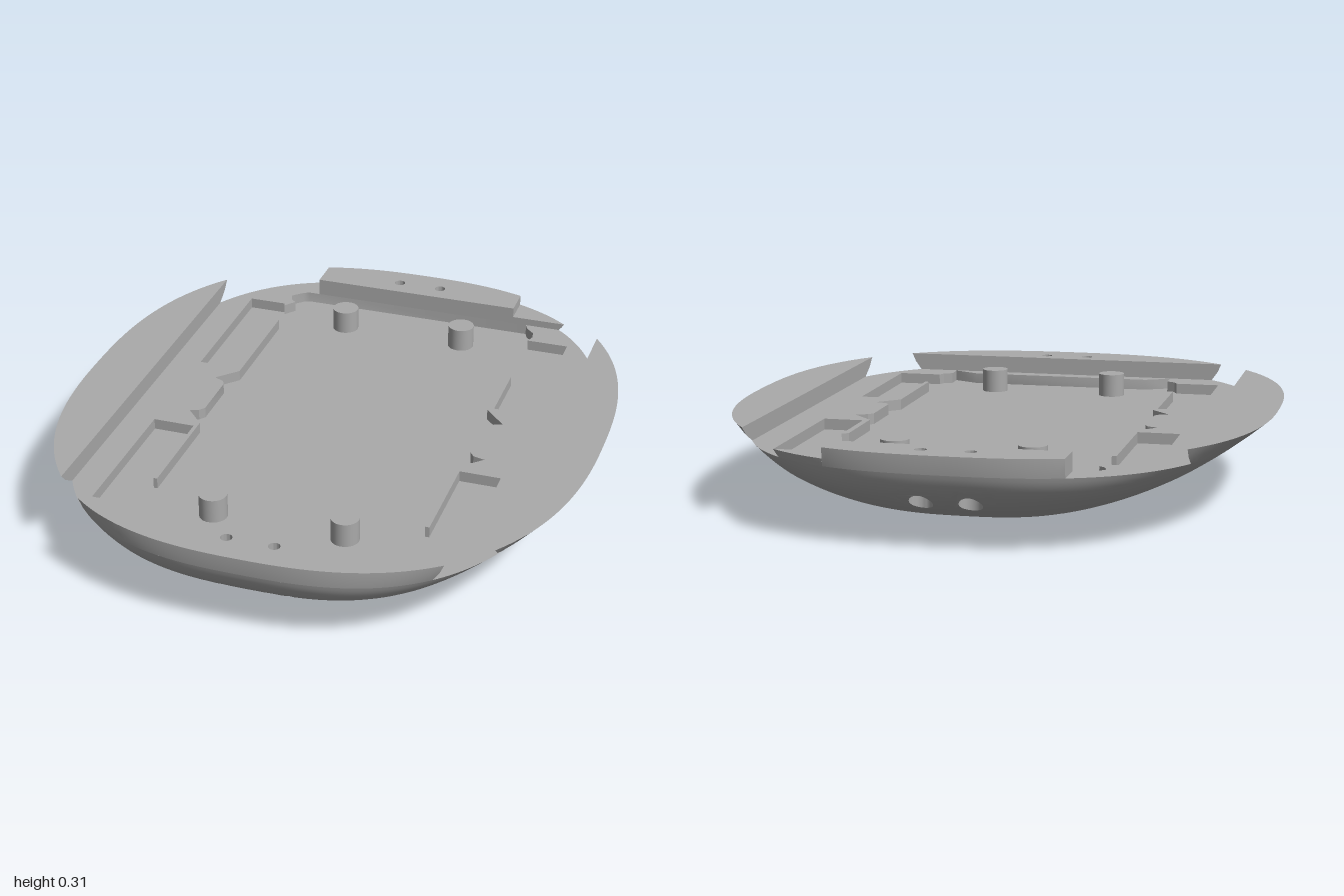
import * as THREE from 'three';
import { toCreasedNormals } from 'three/addons/utils/BufferGeometryUtils.js';

const TOP = 0.305, LEDGE = 0.245, FLOOR = 0.208, SEAT = 0.22;
const RADIUS = 1.48; // cross-curve of the hull
const HOLES = [[-0.075, 0.9], [0.08, 0.9], [-0.075, -0.915], [0.08, -0.915]];
const BORE = 0.019, COUNTERBORE = 0.037;

// Hull section at height y: superellipse half width a, half length b, exponent n
function section(y) {
  const a = Math.sqrt(Math.max(0, RADIUS ** 2 - (RADIUS - y) ** 2));
  const b = (1 - (1 - Math.min(y / TOP, 1)) ** 2.6) ** (1 / 2.6);
  return { a, b, n: Math.min(2.9, 2.5 + (TOP - y) * 3) };
}

function ring(y, count) {
  const { a, b, n } = section(y);
  return Array.from({ length: count }, (_, j) => {
    const c = Math.cos(j / count * Math.PI * 2), s = Math.sin(j / count * Math.PI * 2);
    const k = (Math.abs(c) ** n + Math.abs(s) ** n) ** (-1 / n);
    return [a * c * k, y, b * s * k];
  });
}

// Height of the hull surface above a plan position
function hullHeight(x, z) {
  let lo = 1e-5, hi = TOP;
  for (let i = 0; i < 40; i++) {
    const y = (lo + hi) / 2, { a, b, n } = section(y);
    if (Math.abs(x / a) ** n + Math.abs(z / b) ** n > 1) lo = y; else hi = y;
  }
  return hi;
}

const circle = (x, z, r, count = 32) => Array.from({ length: count }, (_, i) => {
  const t = i / count * Math.PI * 2;
  return [x + r * Math.cos(t), 0, z + r * Math.sin(t)];
});
const atHeight = (loop, y) => loop.map(([x, , z]) => [x, y, z]);

// Walls joining closed loops of equal length
function loft(loops) {
  const pos = [];
  for (let i = 0; i + 1 < loops.length; i++) {
    const p = loops[i], q = loops[i + 1], n = p.length;
    for (let j = 0; j < n; j++) {
      const k = (j + 1) % n;
      pos.push(...p[j], ...q[j], ...q[k], ...p[j], ...q[k], ...p[k]);
    }
  }
  const g = new THREE.BufferGeometry();
  g.setAttribute('position', new THREE.Float32BufferAttribute(pos, 3));
  return toCreasedNormals(g, 0.5);
}

// Horizontal upward face with holes
function flat(loop, y, holes = []) {
  const v = l => l.map(([x, , z]) => new THREE.Vector2(x, -z));
  const shape = new THREE.Shape(v(loop));
  shape.holes = holes.map(h => new THREE.Path(v(h)));
  return new THREE.ShapeGeometry(shape).rotateX(-Math.PI / 2).translate(0, y, 0);
}

// Curved underside, with round openings patched into the grid
function hullGeometry() {
  const rows = 40, cols = 192, pts = [], index = [], skip = new Set();
  for (let i = 0; i <= rows; i++) pts.push(...ring(LEDGE * (i / rows) ** 2, cols));
  const id = (i, j) => i * cols + j % cols;
  const tri = (a, b, c) => {
    const [p, q, r] = [pts[a], pts[b], pts[c]];
    const ny = (q[2] - p[2]) * (r[0] - p[0]) - (q[0] - p[0]) * (r[2] - p[2]);
    if (ny > 0) index.push(a, c, b); else index.push(a, b, c);
  };
  for (const [hx, hz] of HOLES) {
    let i0 = rows, i1 = 0, j0 = cols, j1 = 0;
    for (let i = 1; i < rows; i++) for (let j = 0; j < cols; j++) {
      const [x, , z] = pts[id(i, j)];
      if (Math.abs(x - hx) > 0.042 || Math.abs(z - hz) > 0.042) continue;
      i0 = Math.min(i0, i); i1 = Math.max(i1, i);
      j0 = Math.min(j0, j); j1 = Math.max(j1, j);
    }
    i0--; j0--; j1++; i1 = Math.min(rows, i1 + 1);
    for (let i = i0; i < i1; i++) for (let j = j0; j < j1; j++) skip.add(id(i, j));
    const edge = [];
    for (let j = j0; j < j1; j++) edge.push(id(i0, j));
    for (let i = i0; i < i1; i++) edge.push(id(i, j1));
    for (let j = j1; j > j0; j--) edge.push(id(i1, j));
    for (let i = i1; i > i0; i--) edge.push(id(i, j0));
    const rim = circle(hx, hz, COUNTERBORE).map(([x, , z]) => pts.push([x, hullHeight(x, z), z]) - 1);
    const plan = ids => ids.map(k => new THREE.Vector2(pts[k][0], pts[k][2]));
    let outer = edge, inner = rim;
    if (THREE.ShapeUtils.isClockWise(plan(outer))) outer = outer.slice().reverse();
    inner = inner.slice().reverse();
    const all = [...outer, ...inner];
    for (const [a, b, c] of THREE.ShapeUtils.triangulateShape(plan(outer), [plan(inner)]))
      tri(all[a], all[b], all[c]);
  }
  for (let i = 0; i < rows; i++) for (let j = 0; j < cols; j++) {
    if (skip.has(id(i, j))) continue;
    tri(id(i, j), id(i + 1, j), id(i + 1, j + 1));
    if (i > 0) tri(id(i, j), id(i + 1, j + 1), id(i, j + 1));
  }
  const g = new THREE.BufferGeometry();
  g.setAttribute('position', new THREE.Float32BufferAttribute(pts.flat(), 3));
  g.setIndex(index);
  g.computeVertexNormals();
  return g;
}

// Slice of the hull beyond a chord: axis 'x' or 'z', chord at c, limited to s0..s1
function sliceLoop(axis, c, y, s0, s1) {
  const { a, b, n } = section(y), sign = Math.sign(c), count = 48;
  const [along, out] = axis === 'z' ? [a, b] : [b, a];
  const span = along * (1 - Math.abs(c / out) ** n) ** (1 / n);
  const lo = Math.max(-span, s0), hi = Math.min(span, s1), loop = [];
  for (let i = 0; i <= count; i++) {
    const s = lo + (hi - lo) * i / count;
    loop.push([s, sign * out * (1 - Math.abs(s / along) ** n) ** (1 / n)]);
  }
  loop.push([hi, c], [lo, c]);
  const pts = loop.map(([s, e]) => axis === 'z' ? [s, y, e] : [e, y, s]);
  return (axis === 'z') === (sign > 0) ? pts : pts.reverse();
}

// Recess outline, including the thin upright ribs beside the four side bays
const RECESS = [
  [-0.41, -0.845], [-0.43, -0.835], [-0.465, -0.8], [-0.455, -0.77], [-0.435, -0.755], [-0.465, -0.715], [-0.47, -0.73],
  [-0.6, -0.73], [-0.6, -0.21], [-0.46, -0.21], [-0.46, -0.6], [-0.445, -0.6],
  [-0.445, -0.19], [-0.51, -0.12], [-0.475, -0.105], [-0.465, -0.085],
  [-0.465, 0.09], [-0.48, 0.11], [-0.51, 0.12], [-0.445, 0.19],
  [-0.445, 0.565], [-0.458, 0.565], [-0.458, 0.215], [-0.6, 0.215], [-0.6, 0.73],
  [-0.445, 0.73], [-0.435, 0.755], [-0.405, 0.77], [-0.405, 0.832], [-0.32, 0.787],
  [0.33, 0.787], [0.42, 0.832], [0.42, 0.77], [0.45, 0.755], [0.46, 0.73],
  [0.61, 0.73], [0.61, 0.215], [0.472, 0.215], [0.472, 0.565], [0.458, 0.565],
  [0.458, 0.19], [0.53, 0.12], [0.49, 0.11], [0.475, 0.09],
  [0.475, -0.085], [0.49, -0.105], [0.53, -0.12], [0.455, -0.2],
  [0.455, -0.435], [0.475, -0.45], [0.475, -0.215], [0.61, -0.215], [0.61, -0.73],
  [0.465, -0.73], [0.475, -0.76], [0.47, -0.79], [0.44, -0.82], [0.43, -0.845],
].map(([x, z]) => [x, 0, z]);

export function createModel() {
  const grey = new THREE.MeshStandardMaterial({ color: 0xaaaaaa, side: THREE.DoubleSide });
  grey.name = 'grey';
  const model = new THREE.Group();
  model.name = 'shellTray';
  const add = (name, geometry, parent = model) => {
    const mesh = new THREE.Mesh(geometry, grey);
    mesh.name = name;
    parent.add(mesh);
    return mesh;
  };
  const bores = HOLES.map(([x, z]) => circle(x, z, BORE));

  // Hull, ledge and recess
  add('hull', hullGeometry());
  add('ledge', flat(ring(LEDGE, 192), LEDGE, [RECESS, ...bores]));
  add('recessWall', loft([atHeight(RECESS, FLOOR), atHeight(RECESS, LEDGE)]));
  add('recessFloor', flat(RECESS, FLOOR));

  // Raised rim pieces
  const rim = (name, axis, c, top, s0, s1, holes) => {
    const group = new THREE.Group();
    group.name = name;
    const loops = [0, 0.5, 1].map(t => sliceLoop(axis, c, LEDGE + (top - LEDGE) * t, s0, s1));
    add(name + 'Wall', loft(loops), group);
    add(name + 'Top', flat(loops[2], top, holes), group);
    model.add(group);
  };
  rim('rightRim', 'x', -0.7, TOP, -2, 2);
  rim('leftRim', 'x', 0.72, TOP, -2, 2);
  rim('frontRim', 'z', 0.838, TOP, -2, 2, bores.slice(0, 2));
  rim('backRim', 'z', -0.845, TOP, -0.37, 0.38, bores.slice(2));
  rim('backStep', 'z', -0.845, 0.27, 0.38, 2);

  // Screw holes: wide from below, narrow to the top
  HOLES.forEach(([x, z], i) => {
    const wide = circle(x, z, COUNTERBORE);
    const mouth = wide.map(([px, , pz]) => [px, hullHeight(px, pz), pz]);
    add('screwHole', loft([mouth, atHeight(wide, SEAT), atHeight(bores[i], SEAT), atHeight(bores[i], TOP)]));
  });

  // Support posts
  for (const x of [-0.215, 0.225]) for (const z of [-0.69, 0.655]) {
    const post = add('post', new THREE.CylinderGeometry(0.046, 0.046, 0.08, 40));
    post.position.set(x, FLOOR + 0.04, z);
  }
  return model;
}
